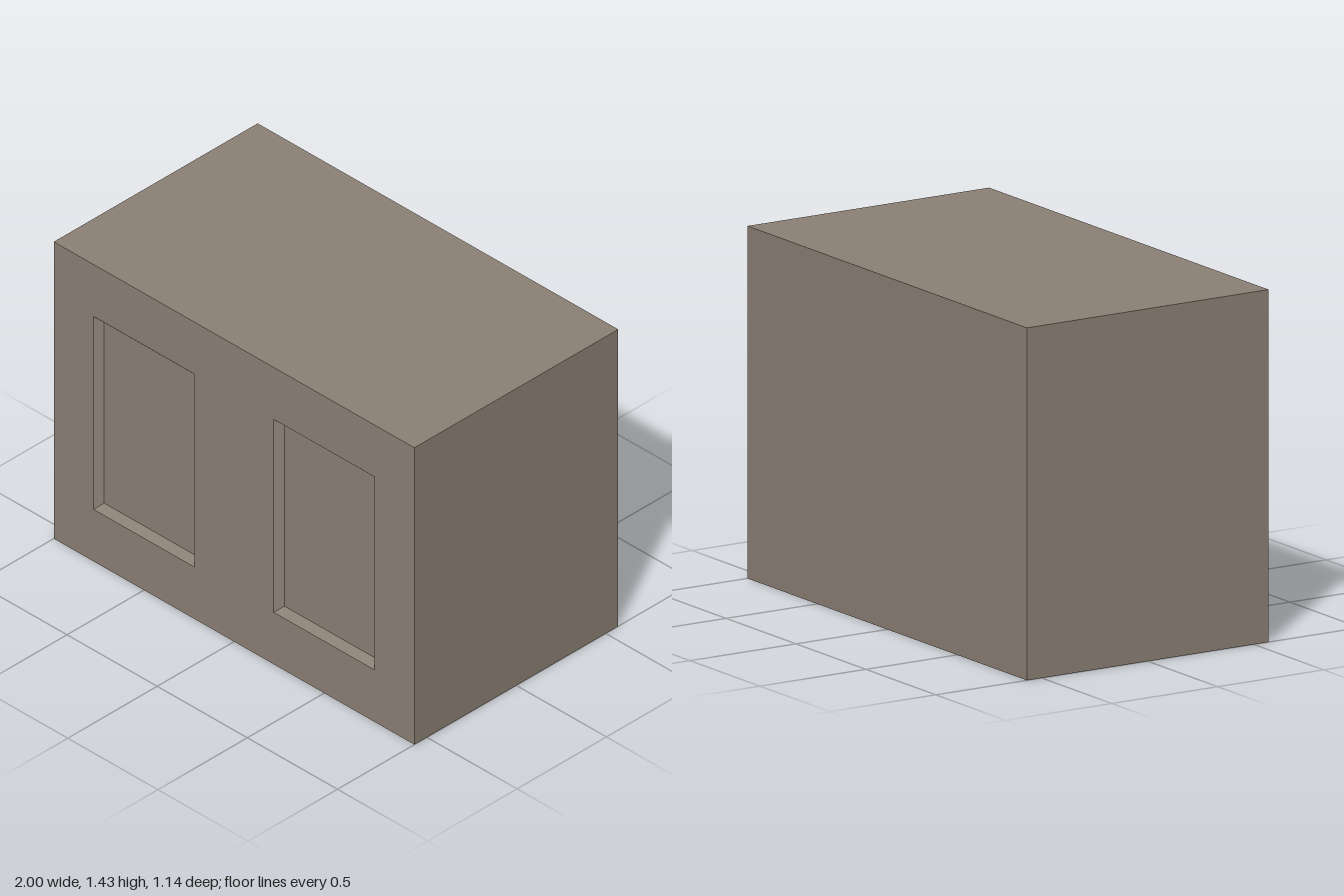
import * as THREE from 'three';

const W = 2, H = 1.43, D = 1.14;
const PANEL = { w: 0.56, h: 0.93, x: 0.5, y: 0.715 };
const INSET = 0.03, DEPTH = 0.03;

// Corners of a centred rectangle, counter-clockwise seen from the front
const corners = (w, h) => [[-1, -1], [1, -1], [1, 1], [-1, 1]].map(([x, y]) => new THREE.Vector2(x * w / 2, y * h / 2));

// Four sloping sides leading back to a smaller rectangle
function bevelGeometry() {
  const outer = corners(PANEL.w, PANEL.h).map(p => [p.x, p.y, 0]);
  const inner = corners(PANEL.w - 2 * INSET, PANEL.h - 2 * INSET).map(p => [p.x, p.y, -DEPTH]);
  const pos = [];
  for (let i = 0; i < 4; i++) {
    const j = (i + 1) % 4;
    pos.push(...outer[i], ...outer[j], ...inner[j], ...outer[i], ...inner[j], ...inner[i]);
  }
  const geometry = new THREE.BufferGeometry();
  geometry.setAttribute('position', new THREE.Float32BufferAttribute(pos, 3));
  geometry.computeVertexNormals();
  return geometry;
}

export function createModel() {
  const material = new THREE.MeshStandardMaterial({ color: 0x8c8075 });
  const model = new THREE.Group();
  model.name = 'panelledBlock';

  const add = (parent, name, geometry, x, y, z) => {
    const mesh = new THREE.Mesh(geometry, material);
    mesh.name = name;
    mesh.position.set(x, y, z);
    parent.add(mesh);
  };

  // Block with its front side left open
  const block = new THREE.BoxGeometry(W, H, D);
  const index = Array.from(block.index.array);
  index.splice(24, 6);
  block.setIndex(index);
  block.clearGroups();
  add(model, 'body', block, 0, H / 2, 0);

  // Front face with two openings
  const face = new THREE.Shape(corners(W, H));
  for (const side of [-1, 1]) {
    const offset = new THREE.Vector2(side * PANEL.x, PANEL.y - H / 2);
    face.holes.push(new THREE.Path(corners(PANEL.w, PANEL.h).map(p => p.add(offset)).reverse()));
  }
  add(model, 'frontFace', new THREE.ShapeGeometry(face), 0, H / 2, D / 2);

  // Recessed panels with bevelled surrounds
  for (const side of [-1, 1]) {
    const panel = new THREE.Group();
    panel.name = side > 0 ? 'leftPanel' : 'rightPanel';
    panel.position.set(side * PANEL.x, PANEL.y, D / 2);
    add(panel, 'panelBevel', bevelGeometry(), 0, 0, 0);
    add(panel, 'panelFloor', new THREE.PlaneGeometry(PANEL.w - 2 * INSET, PANEL.h - 2 * INSET), 0, 0, -DEPTH);
    model.add(panel);
  }
  return model;
}
